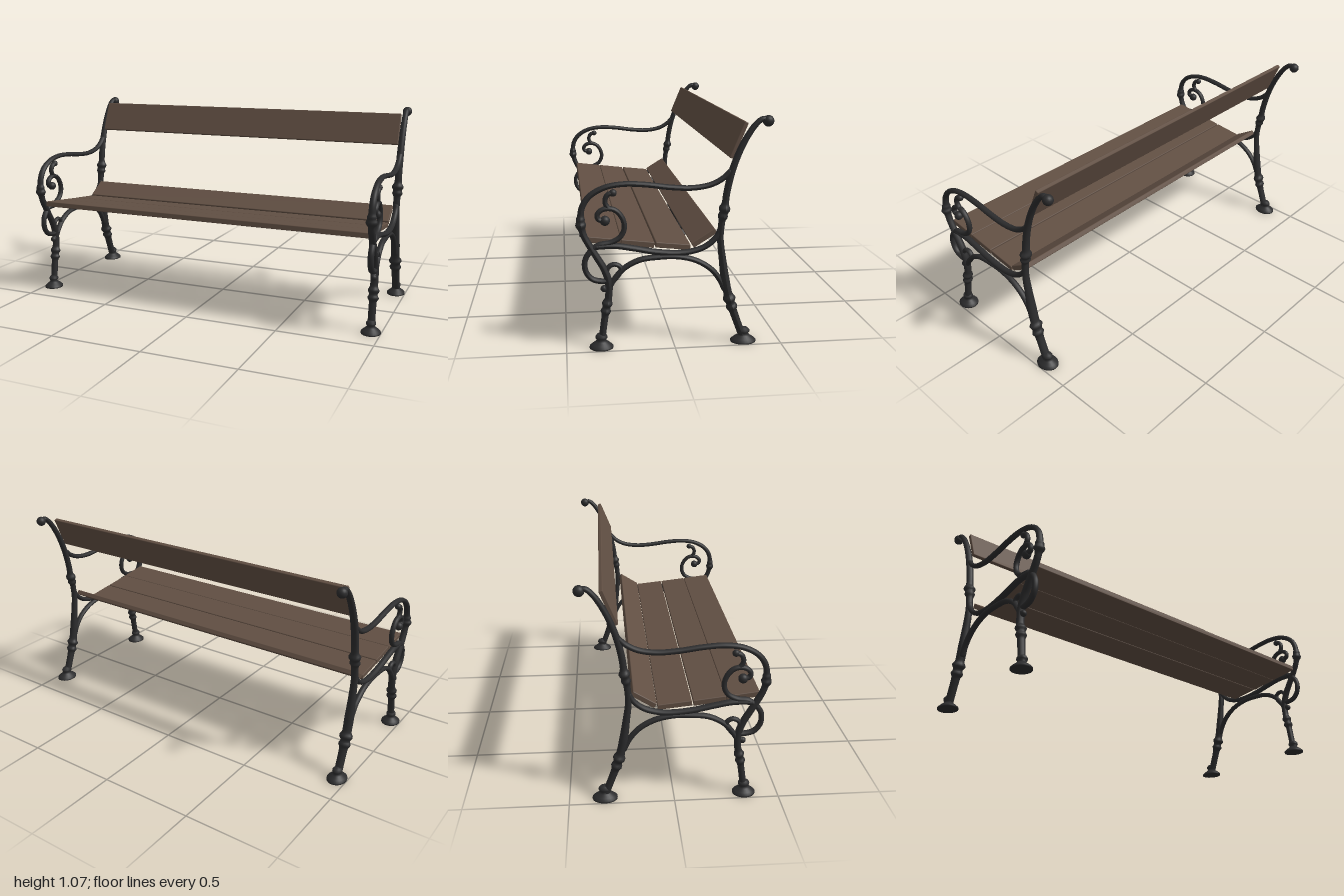
import * as THREE from 'three';
import { RoundedBoxGeometry } from 'three/addons/geometries/RoundedBoxGeometry.js';

const iron = new THREE.MeshStandardMaterial({ name: 'cast iron', color: 0x2c2c2d });
const wood = new THREE.MeshStandardMaterial({ name: 'brown wood', color: 0x614f43 });

const add = (group, name, geometry, material) => {
  const mesh = new THREE.Mesh(geometry, material);
  mesh.name = name;
  group.add(mesh);
  return mesh;
};

// Round bar through [z, y] points; radii are spread evenly along it,
// collars [z, y, height, width] swell it locally, and both ends are closed.
function bar(points, radii, collars = [], segments = 64) {
  const curve = new THREE.CatmullRomCurve3(points.map(([z, y]) => new THREE.Vector3(0, y, z)));
  const sides = 12;
  const geometry = new THREE.TubeGeometry(curve, segments, 1, sides);
  const pos = geometry.attributes.position;
  const v = new THREE.Vector3();
  for (let i = 0; i <= segments; i++) {
    const c = curve.getPointAt(i / segments);
    const t = (i / segments) * (radii.length - 1);
    const k = Math.min(Math.floor(t), radii.length - 2);
    let r = THREE.MathUtils.lerp(radii[k], radii[k + 1], t - k);
    for (const [z, y, h, w] of collars) r += h * Math.exp(-(((c.z - z) ** 2 + (c.y - y) ** 2) / (w * w)));
    if (i === 0 || i === segments) r = 0;
    for (let j = 0; j <= sides; j++) {
      const n = i * (sides + 1) + j;
      v.fromBufferAttribute(pos, n).sub(c).multiplyScalar(r);
      pos.setXYZ(n, c.x + v.x * 1.2, c.y + v.y, c.z + v.z);
    }
  }
  geometry.computeVertexNormals();
  return geometry;
}

function knob(group, name, z, y, r) {
  add(group, name, new THREE.SphereGeometry(r, 16, 12), iron).position.set(0, y, z);
}

function foot(group, name, z, r) {
  const profile = [[0, 0], [1, 0], [1, 0.008], [0.8, 0.018], [0.5, 0.03], [0.38, 0.038], [0.5, 0.047],
    [0.5, 0.056], [0.36, 0.066], [0, 0.07]].map(([k, y]) => new THREE.Vector2(k * r, y));
  const mesh = add(group, name, new THREE.LatheGeometry(profile, 24), iron);
  mesh.position.z = z;
  mesh.scale.x = 0.05 / r;
}

function endFrame(name) {
  const g = new THREE.Group();
  g.name = name;

  // Back leg and upright in one sweep, with turned collars
  add(g, 'backPost', bar(
    [[-0.328, 0.02], [-0.27, 0.18], [-0.243, 0.28], [-0.223, 0.41], [-0.212, 0.507], [-0.218, 0.592], [-0.229, 0.65],
      [-0.2375, 0.72], [-0.26, 0.82], [-0.294, 0.913], [-0.331, 0.984], [-0.366, 1.032], [-0.395, 1.053], [-0.422, 1.045]],
    [0.018, 0.018, 0.02, 0.021, 0.017, 0.015, 0.016, 0.016, 0.016, 0.015, 0.014, 0.012],
    [[-0.272, 0.175, 0.008, 0.012], [-0.258, 0.215, 0.01, 0.014], [-0.224, 0.61, 0.008, 0.012],
      [-0.229, 0.645, 0.011, 0.016]], 160), iron);
  knob(g, 'backPostKnob', -0.42, 1.044, 0.026);

  // Armrest sweeping down into the front leg
  add(g, 'armrestAndFrontLeg', bar(
    [[-0.258, 0.825], [-0.223, 0.79], [-0.166, 0.76], [-0.081, 0.746], [0.0185, 0.751], [0.132, 0.766], [0.232, 0.771],
      [0.317, 0.757], [0.383, 0.72], [0.417, 0.67], [0.425, 0.598], [0.414, 0.545], [0.383, 0.484], [0.351, 0.43],
      [0.323, 0.38], [0.303, 0.32], [0.303, 0.25], [0.314, 0.195], [0.329, 0.095], [0.338, 0.02]],
    [0.013, 0.013, 0.013, 0.013, 0.013, 0.014, 0.015, 0.016, 0.017, 0.016, 0.016],
    [[0.425, 0.615, 0.005, 0.01], [0.424, 0.588, 0.01, 0.015], [0.313, 0.215, 0.009, 0.013],
      [0.317, 0.178, 0.008, 0.012]], 260), iron);

  foot(g, 'backFoot', -0.33, 0.06);
  foot(g, 'frontFoot', 0.339, 0.055);

  // Rail under the seat slats
  add(g, 'seatRail', bar(
    [[0.37, 0.485], [0.275, 0.487], [0.19, 0.473], [0.09, 0.453], [-0.01, 0.444], [-0.081, 0.45], [-0.147, 0.473],
      [-0.195, 0.516], [-0.215, 0.56]], [0.014, 0.014, 0.013]), iron);

  // Arch between the legs
  add(g, 'legArch', bar(
    [[0.3, 0.29], [0.275, 0.331], [0.232, 0.379], [0.161, 0.416], [0.075, 0.427], [-0.01, 0.427], [-0.095, 0.407],
      [-0.166, 0.365], [-0.209, 0.314], [-0.24, 0.25]], [0.013, 0.013]), iron);

  // S-shaped scroll beneath the armrest and in front of the leg
  add(g, 'scroll', bar(
    [[0.318, 0.605], [0.345, 0.612], [0.351, 0.63], [0.338, 0.65], [0.309, 0.661], [0.269, 0.652], [0.238, 0.615],
      [0.229, 0.572], [0.246, 0.53], [0.289, 0.504], [0.346, 0.493], [0.383, 0.465], [0.408, 0.422], [0.405, 0.371],
      [0.377, 0.334], [0.337, 0.322], [0.305, 0.322]], [0.012, 0.012, 0.013, 0.013], [], 130), iron);
  knob(g, 'scrollKnob', 0.316, 0.605, 0.023);
  add(g, 'scrollHook', bar(
    [[0.28, 0.732], [0.304, 0.723], [0.315, 0.692], [0.3, 0.664], [0.275, 0.655]], [0.012, 0.011], [], 32), iron);
  knob(g, 'hookKnob', 0.279, 0.732, 0.017);

  // Small curl at the inside of the front leg
  add(g, 'legCurl', bar(
    [[0.315, 0.36], [0.3, 0.39], [0.274, 0.4], [0.25, 0.388], [0.246, 0.368], [0.263, 0.34], [0.297, 0.306],
      [0.325, 0.286]], [0.011, 0.011], [], 40), iron);
  knob(g, 'curlKnob', 0.324, 0.286, 0.016);
  return g;
}

// Plank whose upper face runs from [z0, y0] to [z1, y1]
function slat(group, name, [z0, y0], [z1, y1], thick) {
  const a = Math.atan2(y1 - y0, z0 - z1);
  const length = Math.hypot(y1 - y0, z1 - z0);
  const mesh = add(group, name, new RoundedBoxGeometry(1.87, thick, length, 1, 0.004), wood);
  mesh.rotation.x = a;
  mesh.position.set(0, (y0 + y1) / 2 - (Math.cos(a) * thick) / 2, (z0 + z1) / 2 - (Math.sin(a) * thick) / 2);
}

export function createModel() {
  const bench = new THREE.Group();
  bench.name = 'bench';
  for (const [name, x] of [['leftEndFrame', 0.95], ['rightEndFrame', -0.95]]) {
    const frame = endFrame(name);
    frame.position.x = x;
    bench.add(frame);
  }
  slat(bench, 'frontSeatSlat', [0.4, 0.53], [0.243, 0.511], 0.028);
  slat(bench, 'secondSeatSlat', [0.242, 0.511], [0.089, 0.493], 0.028);
  slat(bench, 'thirdSeatSlat', [0.083, 0.493], [-0.078, 0.476], 0.026);
  slat(bench, 'rearSeatSlat', [-0.079, 0.482], [-0.188, 0.55], 0.026);
  slat(bench, 'backrestSlat', [-0.25, 0.878], [-0.317, 1.041], 0.02);
  return bench;
}
